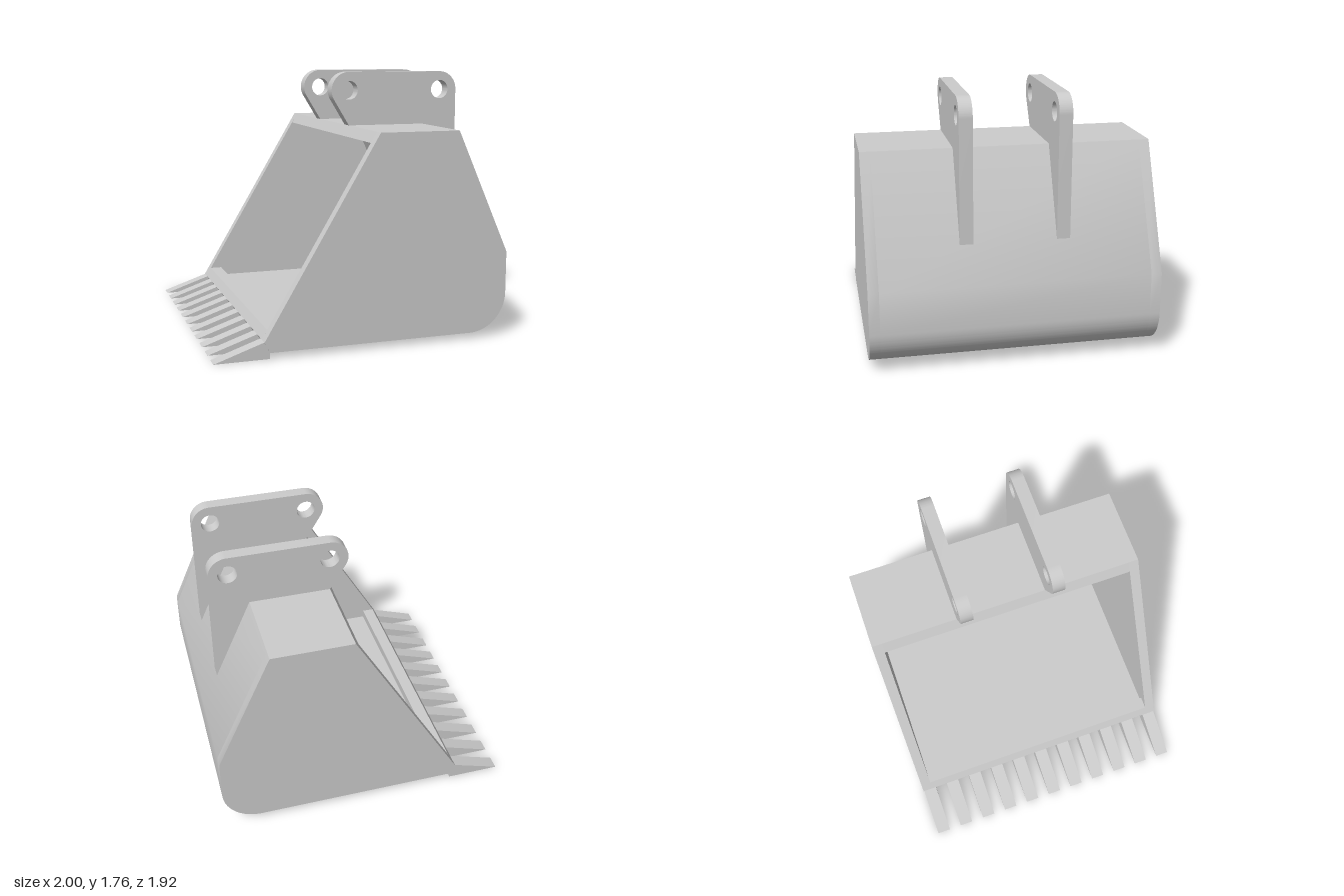
import * as THREE from 'three';
import { toCreasedNormals } from 'three/addons/utils/BufferGeometryUtils.js';

const material = new THREE.MeshStandardMaterial({ color: 0xcccccc });
const HALF_WIDTH = 0.96, WALL = 0.07;

// Extrude a side profile along z, centred on the given z.
function slab(name, shape, width, z = 0) {
  const geometry = new THREE.ExtrudeGeometry(shape, { depth: width, bevelEnabled: false, curveSegments: 24 });
  geometry.translate(0, 0, z - width / 2);
  const mesh = new THREE.Mesh(toCreasedNormals(geometry, 0.5), material);
  mesh.name = name;
  return mesh;
}

// Outer bucket outline, from the cutting lip round the heel to the top of the mouth.
function outerOutline() {
  const s = new THREE.Shape();
  s.moveTo(-0.675, 0.11);
  s.lineTo(-0.64, 0.04);
  s.lineTo(0.74, 0.04);
  s.absarc(0.74, 0.3, 0.26, -Math.PI / 2, 0, false);
  s.lineTo(1, 0.58);
  s.lineTo(0.635, 1.4);
  s.lineTo(0.09, 1.4);
  return s;
}

// Curved wall: outer outline, then back along the inside to the stepped lip.
function wallSection() {
  const s = outerOutline();
  s.lineTo(0.05, 1.33);
  s.lineTo(0.589, 1.33);
  s.lineTo(0.93, 0.565);
  s.lineTo(0.93, 0.37);
  s.absarc(0.67, 0.37, 0.26, 0, -Math.PI / 2, true);
  s.lineTo(-0.555, 0.11);
  s.lineTo(-0.555, 0.17);
  s.lineTo(-0.64, 0.17);
  s.closePath();
  return s;
}

// Hitch ear with two pin holes, following the bucket's roof and slanted back.
function earShape() {
  const s = new THREE.Shape();
  s.moveTo(0.09, 1.4);
  s.lineTo(0.635, 1.4);
  s.lineTo(0.89, 0.827);
  s.lineTo(0.89, 1.64);
  s.absarc(0.765, 1.64, 0.125, 0, Math.PI / 2, false);
  s.absarc(0.09, 1.64, 0.125, Math.PI / 2, THREE.MathUtils.degToRad(211.4), false);
  s.closePath();
  for (const x of [0.09, 0.765]) {
    const hole = new THREE.Path();
    hole.absarc(x, 1.64, 0.064, 0, Math.PI * 2, true);
    s.holes.push(hole);
  }
  return s;
}

export function createModel() {
  const model = new THREE.Group();
  model.name = 'excavatorBucket';

  // Bucket body
  model.add(slab('bucketWall', wallSection(), 2 * (HALF_WIDTH - WALL)));
  for (const side of [-1, 1]) {
    const label = side > 0 ? 'left' : 'right';
    model.add(slab(label + 'SidePlate', outerOutline(), WALL, side * (HALF_WIDTH - WALL / 2)));
    model.add(slab(label + 'HitchEar', earShape(), 0.088, side * 0.318));
  }

  // Row of wedge teeth along the lip
  const tooth = new THREE.Shape([[-1, 0], [-0.64, 0], [-0.64, 0.04], [-0.675, 0.11]]
    .map(([x, y]) => new THREE.Vector2(x, y)));
  const teeth = new THREE.Group();
  teeth.name = 'teeth';
  for (let i = 0; i < 11; i++) teeth.add(slab('tooth', tooth, 0.093, (i - 5) * 0.1815));
  model.add(teeth);

  return model;
}
